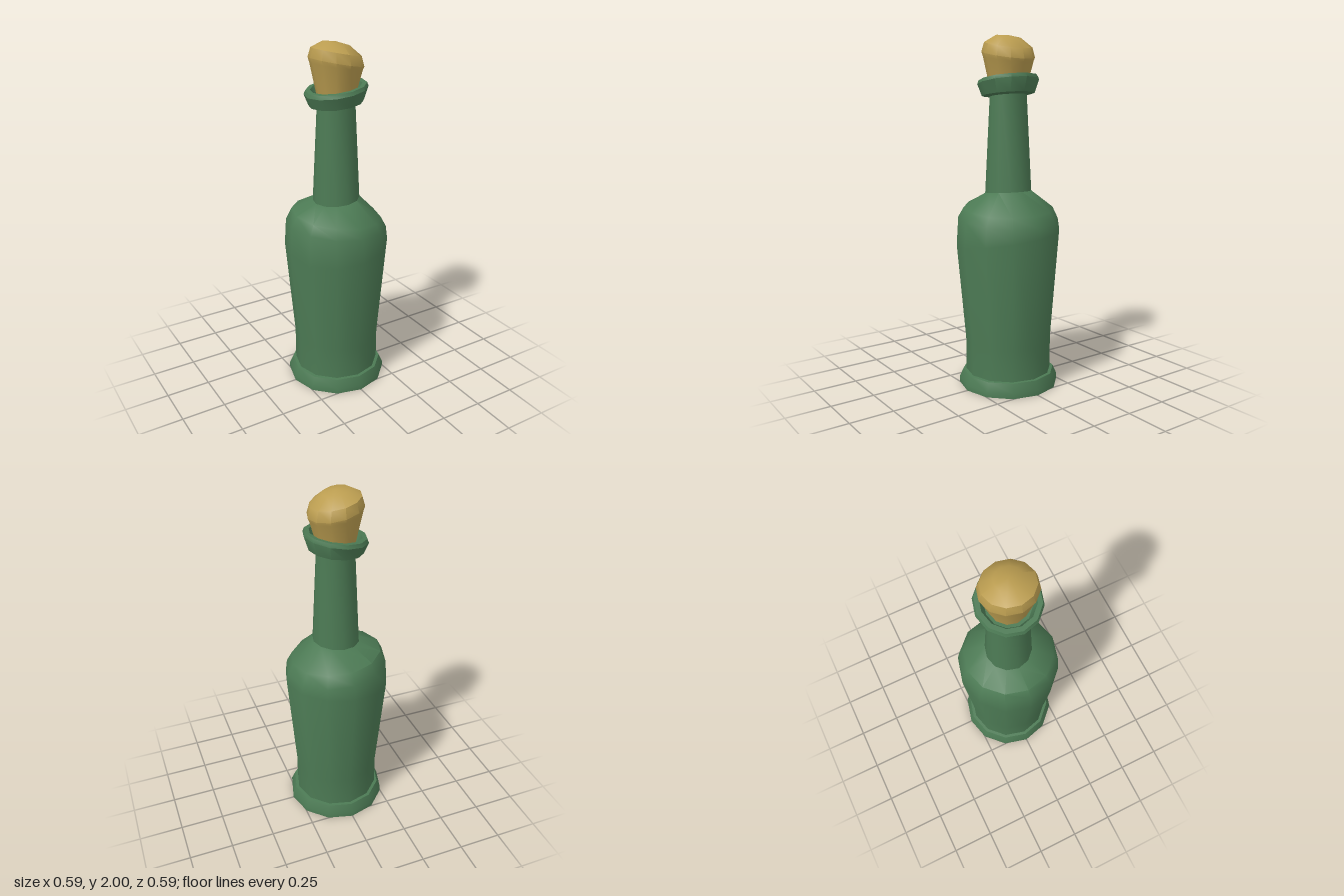
import * as THREE from 'three';
import { mergeVertices, toCreasedNormals } from 'three/addons/utils/BufferGeometryUtils.js';

const SIDES = 12;

// Lathe whose rings may lean: each ring is [radius, height, slope along x, slope along z]
function leaningLathe(rings, crease = 0.7) {
  let geo = new THREE.LatheGeometry(rings.map(([r, y]) => new THREE.Vector2(r, y)), SIDES);
  const pos = geo.attributes.position;
  for (let i = 0; i < pos.count; i++) {
    const [, y, sx = 0, sz = 0] = rings[i % rings.length];
    pos.setY(i, y + sx * pos.getX(i) + sz * pos.getZ(i));
  }
  geo.deleteAttribute('uv');
  geo.deleteAttribute('normal');
  geo = mergeVertices(geo, 1e-4);
  return toCreasedNormals(geo, crease);
}

export function createModel() {
  const glass = new THREE.MeshStandardMaterial({ color: 0x4c7a54 });
  glass.name = 'green glass';
  const corkMat = new THREE.MeshStandardMaterial({ color: 0xbb9d50 });
  corkMat.name = 'cork';

  const group = new THREE.Group();
  group.name = 'bottle';
  const add = (name, rings, material) => {
    const mesh = new THREE.Mesh(leaningLathe(rings), material);
    mesh.name = name;
    group.add(mesh);
  };

  // Flared foot with a hollow underside
  add('foot', [
    [0, 0.07], [0.2, 0.06], [0.268, 0],
    [0.287, 0], [0.287, 0.03], [0.265, 0.08], [0.24, 0.082],
  ], glass);

  // Body swelling up to crooked shoulders
  add('body', [
    [0.247, 0.07], [0.247, 0.265, -0.03],
    [0.296, 0.86, 0.1, -0.1], [0.286, 0.975, -0.09, -0.02],
    [0.255, 1.035, -0.1, -0.05], [0.13, 1.125, 0.08, 0], [0.1, 1.13, 0.08, 0],
  ], glass);

  // Tapering neck
  add('neck', [[0.132, 1.115, 0.08], [0.103, 1.68, 0.1]], glass);

  // Tilted lip with a hollow mouth
  add('lip', [
    [0.095, 1.66, 0.1], [0.148, 1.668, 0.11], [0.173, 1.737, 0.15],
    [0.165, 1.757, 0.15], [0.14, 1.757, 0.15], [0.118, 1.705, 0.12], [0, 1.695, 0.12],
  ], glass);

  // Tapered stopper with a rounded, leaning head
  add('cork', [
    [0, 1.69], [0.1, 1.69], [0.141, 1.863, -0.18], [0.149, 1.885, -0.2],
    [0.134, 1.938, -0.2], [0.07, 1.982, -0.2], [0, 1.99],
  ], corkMat);

  return group;
}
